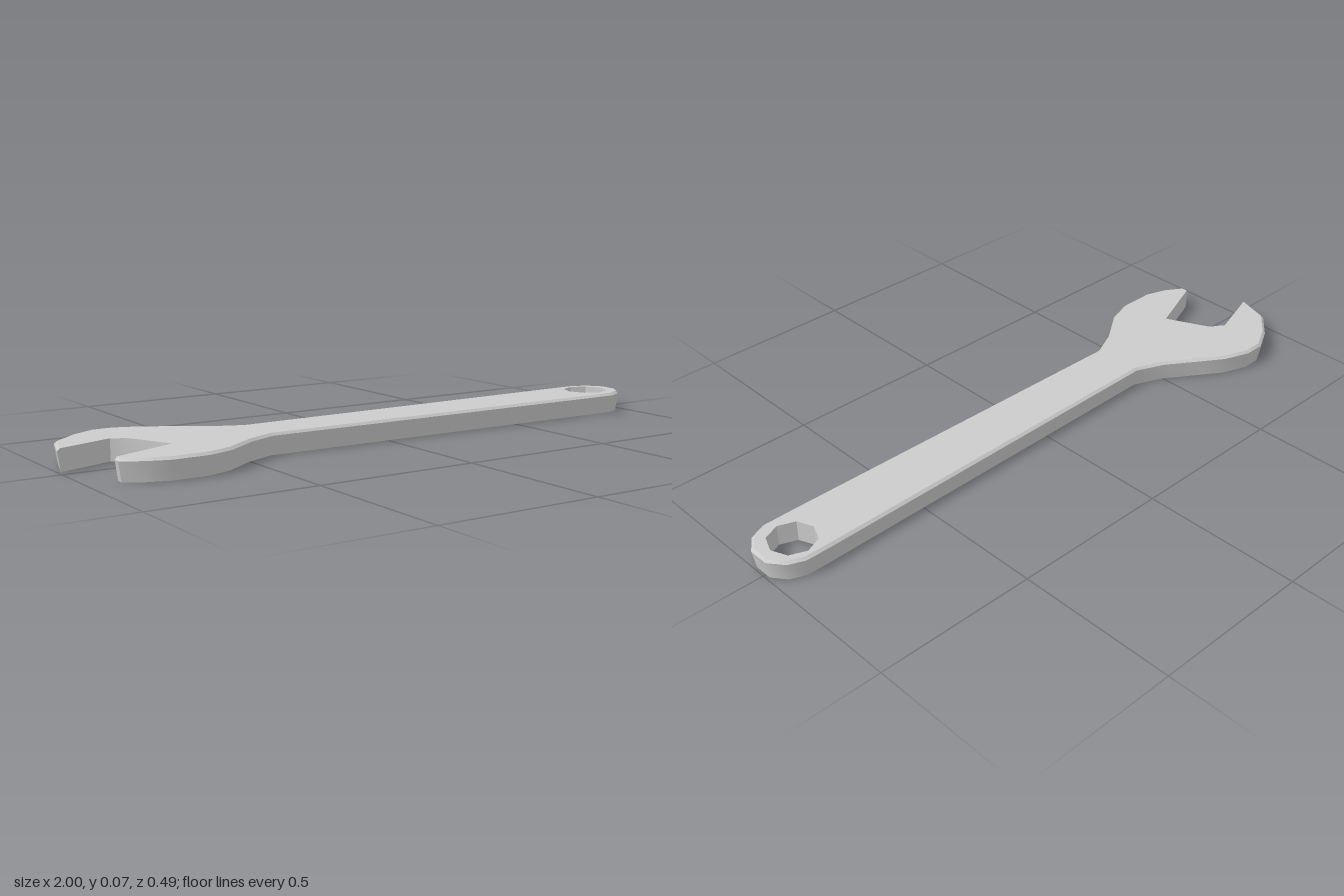
import * as THREE from 'three';
import { toCreasedNormals } from 'three/addons/utils/BufferGeometryUtils.js';

// Outline in the x-z plane: upper jaw, handle, rounded end, lower jaw, jaw opening
const OUTLINE = [
  [-1.0, -0.03], [-0.965, -0.14], [-0.885, -0.21], [-0.81, -0.25], [-0.745, -0.25],
  [-0.665, -0.22], [-0.605, -0.18], [-0.495, -0.105], [-0.405, -0.067],
  [0.83, -0.088], [0.915, -0.088], [0.965, -0.066], [1.0, -0.02],
  [1.0, 0.045], [0.965, 0.093], [0.915, 0.114], [0.83, 0.114],
  [-0.405, 0.1], [-0.495, 0.141], [-0.6, 0.215], [-0.68, 0.241], [-0.79, 0.241],
  [-0.86, 0.217], [-0.917, 0.18], [-0.917, 0.158],
  [-0.71, 0.077], [-0.775, -0.06], [-0.82, -0.09],
].map(([x, z]) => new THREE.Vector2(x, z));
const JAW_START = 24; // edges from here on are the straight-walled jaw opening

// Height and outer inset of each cross-section, from bottom to top
const LAYERS = [[0, 0.009], [0.058, 0], [0.066, 0.008]];

// Move the outer edges inwards, keeping the jaw opening where it is
function insetOutline(d) {
  const n = OUTLINE.length;
  const edge = (i) => {
    const a = OUTLINE[i], b = OUTLINE[(i + 1) % n];
    const t = b.clone().sub(a).normalize();
    return { nx: -t.y, ny: t.x, d: i < JAW_START ? d : 0 };
  };
  return OUTLINE.map((p, i) => {
    const e = edge((i + n - 1) % n), f = edge(i);
    const det = e.nx * f.ny - e.ny * f.nx;
    return new THREE.Vector2(
      p.x + (e.d * f.ny - f.d * e.ny) / det,
      p.y + (f.d * e.nx - e.d * f.nx) / det);
  });
}

// Eight-sided hanging hole, wound against the outline
function holeRing() {
  return Array.from({ length: 8 }, (_, i) => {
    const a = -i * Math.PI / 4;
    return new THREE.Vector2(0.893 + 0.072 * Math.cos(a), 0.006 + 0.072 * Math.sin(a));
  });
}

function wrenchGeometry() {
  const pos = [];
  const tri = (...corners) => corners.forEach(([p, y]) => pos.push(p.x, y, p.y));
  const wall = (lo, y0, hi, y1) => lo.forEach((a, i) => {
    const j = (i + 1) % lo.length;
    tri([a, y0], [hi[i], y1], [hi[j], y1]);
    tri([a, y0], [hi[j], y1], [lo[j], y0]);
  });
  const rings = LAYERS.map(([, d]) => insetOutline(d));
  const hole = holeRing();
  const top = LAYERS.length - 1;

  // Outer sides with the bevelled rim, then the hole wall
  for (let k = 0; k < top; k++) wall(rings[k], LAYERS[k][0], rings[k + 1], LAYERS[k + 1][0]);
  wall(hole, 0, hole, LAYERS[top][0]);

  // Flat faces, top and bottom
  for (const k of [0, top]) {
    const pts = [...rings[k], ...hole], y = LAYERS[k][0];
    for (const [a, b, c] of THREE.ShapeUtils.triangulateShape(rings[k], [hole])) {
      if (k === 0) tri([pts[a], y], [pts[b], y], [pts[c], y]);
      else tri([pts[a], y], [pts[c], y], [pts[b], y]);
    }
  }
  const geo = new THREE.BufferGeometry();
  geo.setAttribute('position', new THREE.Float32BufferAttribute(pos, 3));
  return toCreasedNormals(geo, 0.7);
}

export function createModel() {
  const group = new THREE.Group();
  group.name = 'wrench';
  const body = new THREE.Mesh(wrenchGeometry(), new THREE.MeshStandardMaterial({ color: 0xcccccc }));
  body.name = 'wrenchBody';
  group.add(body);
  return group;
}
